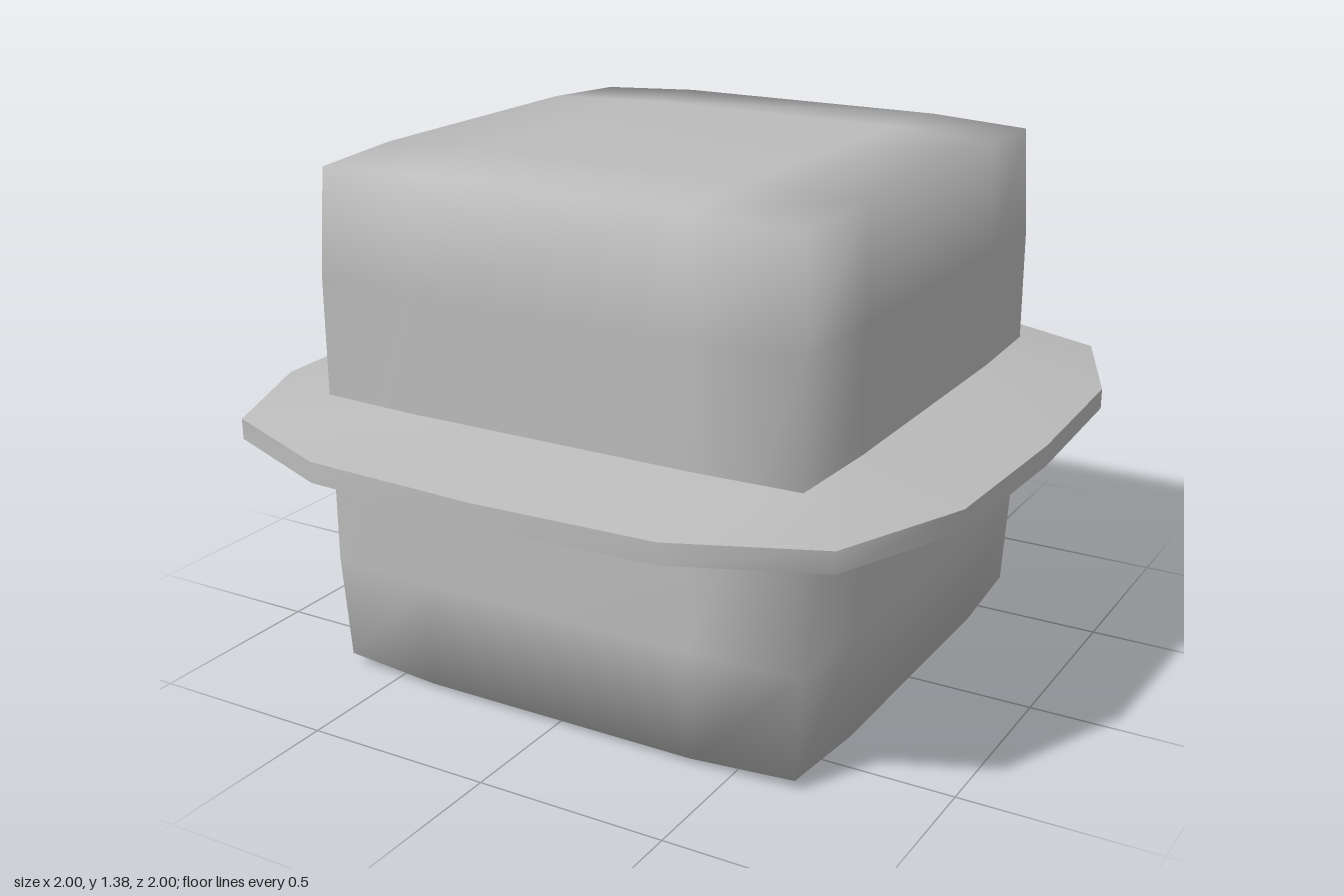
import * as THREE from 'three';
import { mergeVertices } from 'three/addons/utils/BufferGeometryUtils.js';

const CENTER_Y = 0.69;

// Bulged cube, smooth over its edges: each face is a 3 x 3 grid
function blockGeometry() {
  const box = new THREE.BoxGeometry(2, 2, 2, 3, 3, 3);
  box.deleteAttribute('normal');
  box.deleteAttribute('uv');
  box.clearGroups();
  const geo = mergeVertices(box, 1e-3);
  const pos = geo.attributes.position;
  const outer = [0, 0.688, 0.675, 0.662]; // reach of face, edge and corner points
  for (let i = 0; i < pos.count; i++) {
    const p = [pos.getX(i), pos.getY(i), pos.getZ(i)];
    const sides = p.filter((c) => Math.abs(c) > 0.9).length;
    const q = p.map((c) => Math.sign(c) * (Math.abs(c) > 0.9 ? outer[sides] : 0.385));
    pos.setXYZ(i, ...q);
  }
  geo.computeVertexNormals();
  return geo;
}

// Repeats one quarter of an outline around the four sides
function fullLoop(quarter, y) {
  const loop = [];
  for (let k = 0; k < 4; k++) {
    for (const [a, b] of quarter) {
      const [x, z] = [[a, b], [-b, a], [-a, -b], [b, -a]][k];
      loop.push([x, y, z]);
    }
  }
  return loop;
}

// Smooth closed band between two loops
function bandGeometry(lower, upper) {
  const n = lower.length;
  const index = [];
  for (let i = 0; i < n; i++) {
    const j = (i + 1) % n;
    index.push(i, n + i, j, j, n + i, n + j);
  }
  const geo = new THREE.BufferGeometry();
  geo.setAttribute('position', new THREE.Float32BufferAttribute([...lower, ...upper].flat(), 3));
  geo.setIndex(index);
  geo.computeVertexNormals();
  return geo;
}

export function createModel() {
  const model = new THREE.Group();
  const grey = new THREE.MeshStandardMaterial({ color: 0xbcbcbc });
  grey.name = 'grey';

  const add = (parent, name, geometry) => {
    const mesh = new THREE.Mesh(geometry, grey);
    mesh.name = name;
    mesh.position.y = CENTER_Y;
    parent.add(mesh);
  };

  add(model, 'block', blockGeometry());

  // Flange tapering from the block to a thin, sixteen-sided rim
  const rim = [[1, 0], [0.98, 0.48], [0.832, 0.832], [0.48, 0.98]];
  const root = [[0.685, 0], [0.685, 0.36], [0.672, 0.672], [0.36, 0.685]];
  const loops = [
    fullLoop(root, -0.073), fullLoop(rim, -0.027),
    fullLoop(rim, 0.027), fullLoop(root, 0.073),
  ];
  const flange = new THREE.Group();
  flange.name = 'flange';
  ['flangeUnderside', 'flangeRim', 'flangeTop'].forEach((name, i) => {
    add(flange, name, bandGeometry(loops[i], loops[i + 1]));
  });
  model.add(flange);

  return model;
}
